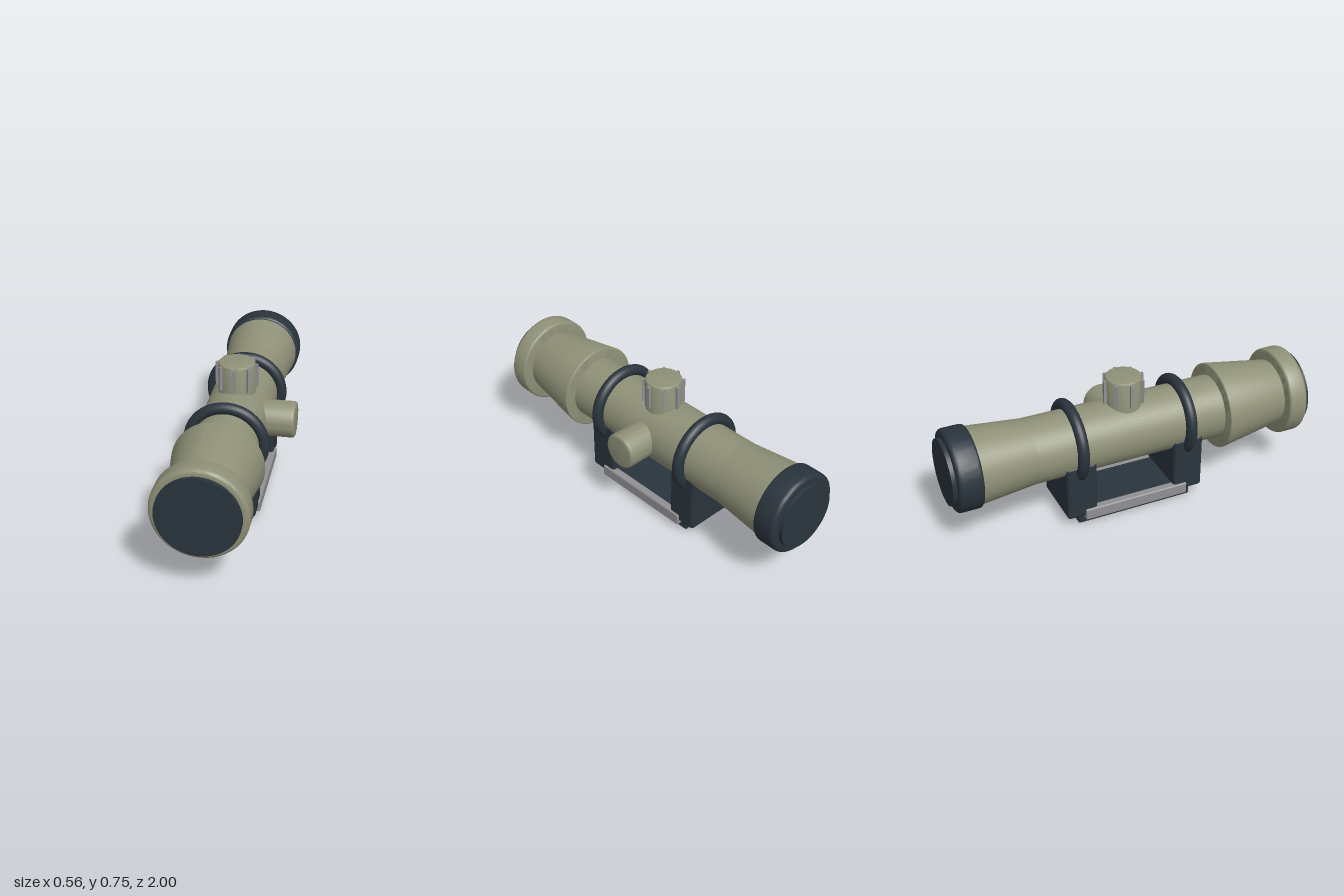
import * as THREE from 'three';
import { toCreasedNormals } from 'three/addons/utils/BufferGeometryUtils.js';
import { RoundedBoxGeometry } from 'three/addons/geometries/RoundedBoxGeometry.js';

const AXIS_X = -0.04, AXIS_Y = 0.438, KNOB_Z = -0.014;

export function createModel() {
  const mat = (name, color) => {
    const m = new THREE.MeshStandardMaterial({ color });
    m.name = name;
    return m;
  };
  const olive = mat('olive', 0x8f9178);
  const dark = mat('dark slate', 0x2a343d);
  const grey = mat('grey metal', 0x909093);

  const model = new THREE.Group();
  model.name = 'scope';

  const add = (name, geometry, material, x, y, z, parent = model) => {
    const mesh = new THREE.Mesh(geometry, material);
    mesh.name = name;
    mesh.position.set(x, y, z);
    parent.add(mesh);
    return mesh;
  };

  // Closed solid of revolution about y; each point is [radius, height, bevel]
  const turned = (points) => {
    const profile = [new THREE.Vector2(0, points[0][1])];
    points.forEach(([r, h, bevel = 0], i) => {
      const p = new THREE.Vector2(r, h);
      if (!bevel) { profile.push(p); return; }
      const toward = (q) => {
        const t = q ? new THREE.Vector2(q[0], q[1]) : new THREE.Vector2(0, h);
        return t.sub(p).setLength(bevel).add(p);
      };
      const curve = new THREE.QuadraticBezierCurve(toward(points[i - 1]), p, toward(points[i + 1]));
      profile.push(...curve.getPoints(5));
    });
    profile.push(new THREE.Vector2(0, points[points.length - 1][1]));
    return toCreasedNormals(new THREE.LatheGeometry(profile, 64), 0.6);
  };
  const along = (name, points, material) =>
    add(name, turned(points).rotateX(Math.PI / 2), material, AXIS_X, AXIS_Y, 0);

  // Optical body, back to front
  along('rearLens', [[0.174, -1], [0.174, -0.96]], dark);
  along('eyepieceCap', [[0.217, -0.978, 0.025], [0.217, -0.848, 0.02]], dark);
  along('eyepieceCone', [[0.204, -0.86], [0.173, -0.55]], olive);
  along('mainTube', [[0.173, -0.56], [0.173, 0.9]], olive);
  along('objectiveBell', [[0.236, 0.505, 0.01], [0.176, 0.885]], olive);
  along('objectiveRim', [[0.239, 0.87, 0.018], [0.239, 0.979, 0.025]], olive);
  along('frontLens', [[0.207, 0.95], [0.207, 1]], dark);

  // Top adjustment knob with grip ribs
  const topKnob = new THREE.Group();
  topKnob.name = 'topKnob';
  topKnob.position.set(AXIS_X, 0, KNOB_Z);
  model.add(topKnob);
  add('topKnobBody', turned([[0.097, 0.5], [0.097, 0.755, 0.015]]), olive, 0, 0, 0, topKnob);
  for (let i = 0; i < 8; i++) {
    const a = (i * Math.PI) / 4;
    const rib = add('gripRib', new THREE.BoxGeometry(0.016, 0.13, 0.02), grey,
      Math.sin(a) * 0.102, 0.68, Math.cos(a) * 0.102, topKnob);
    rib.rotation.y = a;
  }

  // Side adjustment knob
  add('sideKnob', turned([[0.097, 0.1], [0.097, 0.317, 0.018]]).rotateZ(-Math.PI / 2),
    olive, AXIS_X, AXIS_Y + 0.002, KNOB_Z);

  // Mount blocks, each with a clamp ring round the tube
  for (const [blockZ, ringZ] of [[0.295, 0.293], [-0.319, -0.32]]) {
    add('mountBlock', new RoundedBoxGeometry(0.328, 0.318, 0.168, 4, 0.018),
      dark, AXIS_X, 0.216, blockZ);
    add('clampRing', new THREE.TorusGeometry(0.192, 0.03, 20, 64), dark, AXIS_X, 0.443, ringZ);
  }

  // Base plate and side rails
  add('basePlate', new RoundedBoxGeometry(0.284, 0.1, 0.654, 4, 0.012), dark, AXIS_X, 0.05, -0.01);
  for (const side of [-1, 1]) {
    add('sideRail', new RoundedBoxGeometry(0.045, 0.065, 0.59, 3, 0.008),
      grey, AXIS_X + side * 0.152, 0.068, -0.01);
  }
  return model;
}
